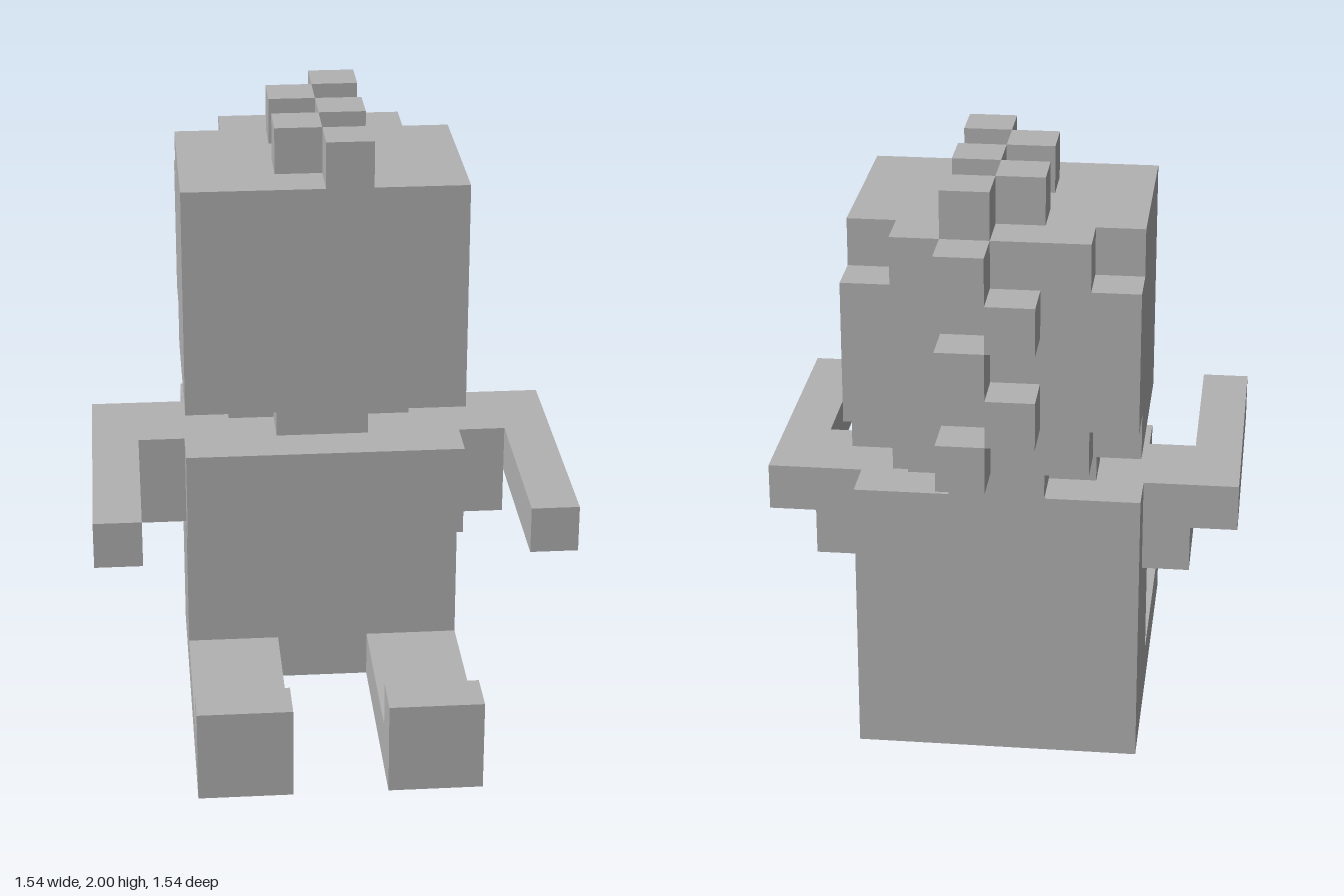
import * as THREE from 'three';

const U = 2 / 13; // edge length of one cube

export function createModel() {
  const model = new THREE.Group();
  const grey = new THREE.MeshStandardMaterial({ color: 0xb2b2b2 });
  grey.name = 'plain grey';

  // box between two corners, in cube units
  function box(parent, name, [x0, y0, z0], [x1, y1, z1]) {
    const mesh = new THREE.Mesh(
      new THREE.BoxGeometry((x1 - x0) * U, (y1 - y0) * U, (z1 - z0) * U), grey);
    mesh.position.set((x0 + x1) / 2 * U, (y0 + y1) / 2 * U, (z0 + z1) / 2 * U);
    mesh.name = name;
    parent.add(mesh);
  }
  function part(name) {
    const group = new THREE.Group();
    group.name = name;
    model.add(group);
    return group;
  }
  // the same box on the left (+x) and mirrored on the right
  function pair(parents, name, [x0, y0, z0], [x1, y1, z1]) {
    box(parents[0], name, [x0, y0, z0], [x1, y1, z1]);
    box(parents[1], name, [-x1, y0, z0], [-x0, y1, z1]);
  }

  // torso with a chest plate in front
  const body = part('body');
  box(body, 'torso', [-3, 0, -3], [3, 6, 0]);
  box(body, 'chest', [-3, 4, 0], [3, 6, 1]);

  // seated legs with upturned feet
  const legs = [part('leftLeg'), part('rightLeg')];
  pair(legs, 'leg', [1, 0, 0], [3, 1, 5]);
  pair(legs, 'toe', [1, 1, 4], [3, 2, 5]);

  // arms stretched forward
  const arms = [part('leftArm'), part('rightArm')];
  pair(arms, 'shoulder', [3, 5, -2], [5, 6, 0]);
  pair(arms, 'underarm', [3, 4, -2], [4, 5, 0]);
  pair(arms, 'forearm', [4, 5, 0], [5, 6, 4]);

  // cross-shaped neck
  const neck = part('neck');
  box(neck, 'neckMiddle', [-2, 6, -2], [2, 7, -1]);
  box(neck, 'neckFront', [-1, 6, -1], [1, 7, 0]);
  box(neck, 'neckBack', [-1, 6, -3], [1, 7, -2]);

  // head, with the back corners notched
  const head = part('head');
  box(head, 'skull', [-3, 7, -3], [3, 12, 1]);
  box(head, 'backOfHead', [-3, 8, -4], [3, 11, -3]);
  box(head, 'backOfHeadTop', [-2, 11, -4], [2, 12, -3]);
  box(head, 'backOfHeadBottom', [-2, 7, -4], [2, 8, -3]);

  // zigzag crest over the top and down the back
  const crest = part('crest');
  for (let i = 0; i < 5; i++) {
    const x = i % 2 ? -1 : 0;
    box(crest, 'topTuft', [x, 12, -i], [x + 1, 13, 1 - i]);
    box(crest, 'backTuft', [x, 11 - i, -5], [x + 1, 12 - i, -4]);
  }
  return model;
}
